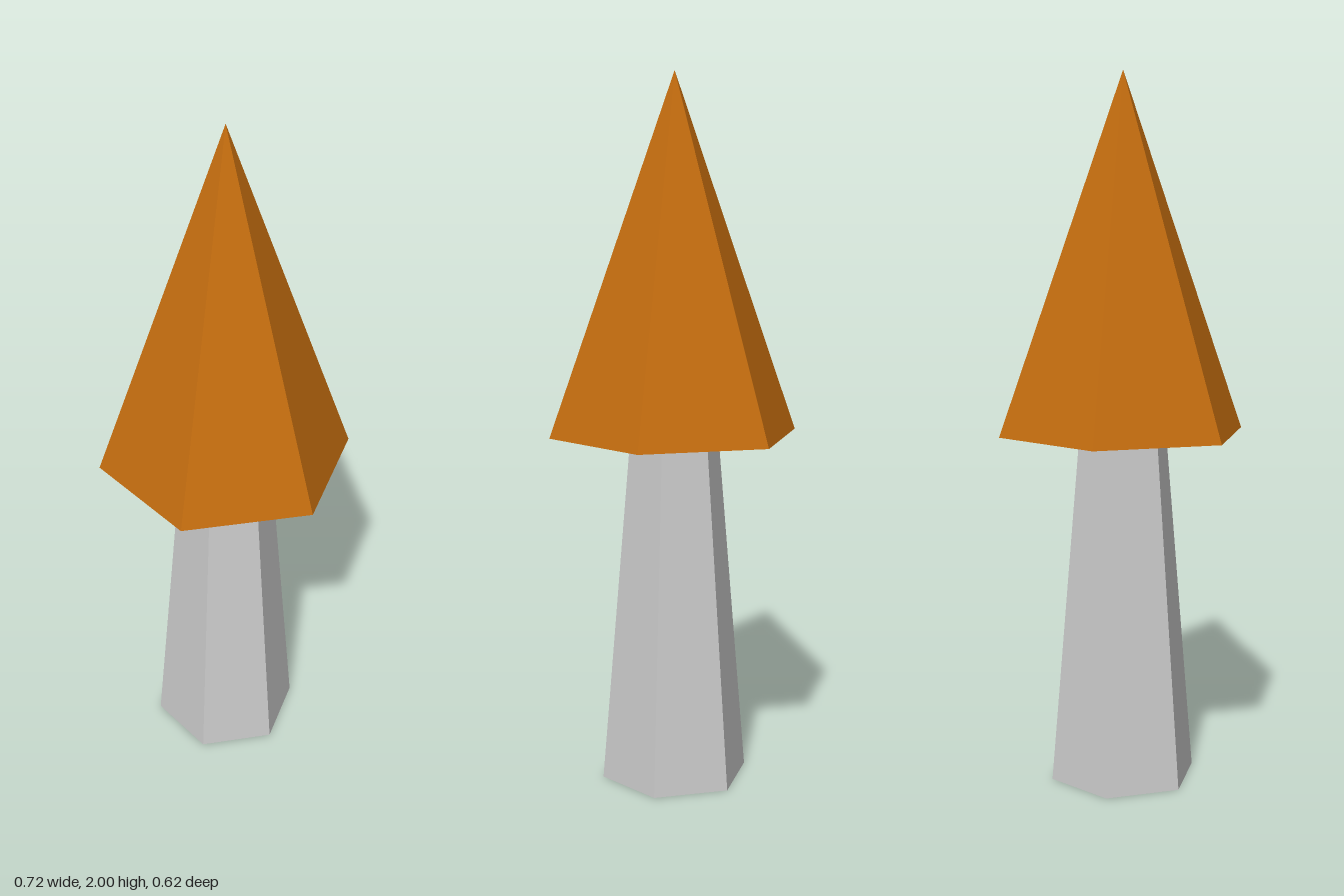
import * as THREE from 'three';

const SIDES = 6;

// Hexagonal frustum with corners on the x axis, standing on height y
function hexPart(name, topRadius, bottomRadius, y, height, color) {
  const geometry = topRadius > 0
    ? new THREE.CylinderGeometry(topRadius, bottomRadius, height, SIDES)
    : new THREE.ConeGeometry(bottomRadius, height, SIDES);
  geometry.rotateY(Math.PI / 6).translate(0, y + height / 2, 0);
  const mesh = new THREE.Mesh(
    geometry,
    new THREE.MeshStandardMaterial({ color, flatShading: true })
  );
  mesh.name = name;
  return mesh;
}

export function createModel() {
  const model = new THREE.Group();
  model.name = 'mushroom';
  // Tapered stem, closed at both ends
  model.add(hexPart('stem', 0.128, 0.213, 0, 1, 0xcccccc));
  // Pointed cap with a flat underside
  model.add(hexPart('cap', 0, 0.358, 1, 1, 0xc46d0f));
  return model;
}
